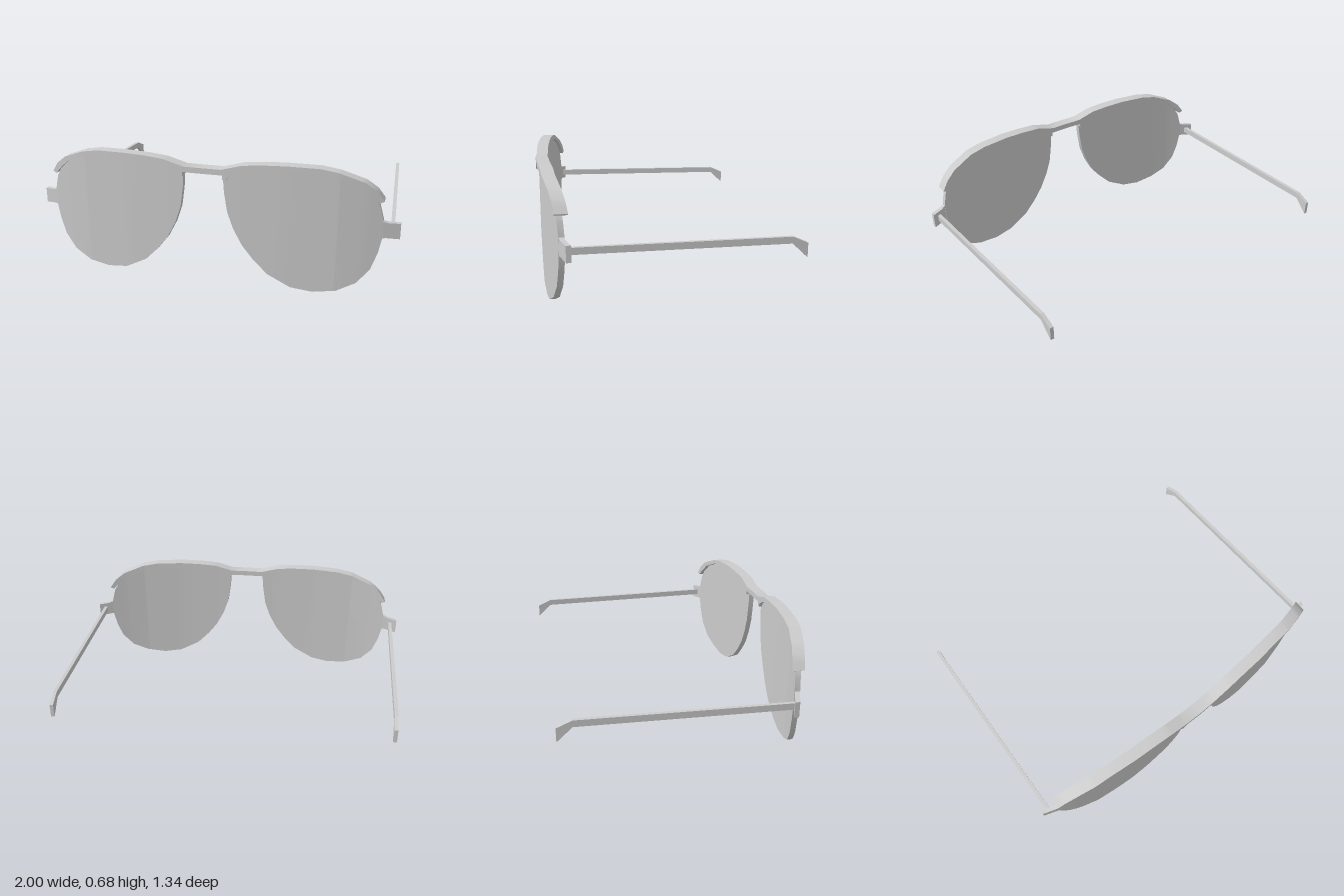
import * as THREE from 'three';
import { toCreasedNormals } from 'three/addons/utils/BufferGeometryUtils.js';

const material = new THREE.MeshStandardMaterial({ color: 0xcccccc });

// Profiles are [x, value] points, given for the +x half.
const wrap = [[0, 0.668], [0.2, 0.664], [0.44, 0.65], [0.695, 0.622], [0.82, 0.593], [0.914, 0.566], [1, 0.534]];
const browTop = [[0, 0.642], [0.1, 0.642], [0.21, 0.672], [0.32, 0.681], [0.44, 0.684], [0.6, 0.679],
  [0.695, 0.662], [0.82, 0.614], [0.877, 0.57], [0.914, 0.518]];
const browBottom = [[0, 0.612], [0.106, 0.612], [0.108, 0.59], [0.125, 0.586], [0.14, 0.612], [0.2, 0.64], [0.28, 0.65],
  [0.6, 0.65], [0.684, 0.64], [0.8, 0.593], [0.85, 0.55], [0.893, 0.507], [0.914, 0.517]];
const lensTop = [[0.107, 0.59], [0.13, 0.62], [0.24, 0.655], [0.6, 0.655], [0.684, 0.645], [0.8, 0.6],
  [0.85, 0.558], [0.893, 0.49], [0.914, 0.41]];
const lensBottom = [[0.107, 0.59], [0.112, 0.517], [0.128, 0.41], [0.16, 0.32], [0.208, 0.23], [0.267, 0.155],
  [0.342, 0.08], [0.465, 0.016], [0.58, 0], [0.7, 0.016], [0.8, 0.064], [0.866, 0.144], [0.898, 0.235], [0.914, 0.315]];
const hingeTop = [[0.9, 0.41], [0.914, 0.405], [0.94, 0.395], [1, 0.39]];
const hingeBottom = [[0.9, 0.312], [0.93, 0.315], [1, 0.306]];

function sample(profile, x) {
  let i = 1;
  while (i < profile.length - 1 && x > profile[i][0]) i++;
  const [x0, v0] = profile[i - 1], [x1, v1] = profile[i];
  return v0 + (v1 - v0) * THREE.MathUtils.clamp((x - x0) / (x1 - x0), 0, 1);
}

// All breakpoints of a part, so every profile corner gets its own column.
function columnsOf(top, bottom) {
  const lo = top[0][0], hi = top[top.length - 1][0];
  const xs = [...top, ...bottom, ...wrap].map((p) => p[0]).filter((x) => x >= lo && x <= hi);
  return [...new Set(xs)].sort((a, b) => a - b);
}

// A plate of given thickness between two outlines, bent around the face curve.
function wrappedPlate(name, xs, top, bottom, offset, thickness) {
  const sections = xs.map((x) => {
    const a = Math.abs(x), t = sample(top, a), b = sample(bottom, a);
    const z = sample(wrap, a) - offset;
    return [[x, b, z], [x, t, z], [x, t, z - thickness], [x, b, z - thickness]];
  });
  const pos = [];
  const quad = (a, b, c, d) => pos.push(...a, ...b, ...c, ...a, ...c, ...d);
  for (let i = 0; i < sections.length - 1; i++) {
    const p = sections[i], q = sections[i + 1];
    for (let k = 0; k < 4; k++) quad(p[k], q[k], q[(k + 1) % 4], p[(k + 1) % 4]);
  }
  const s = sections[0], e = sections[sections.length - 1];
  quad(s[0], s[1], s[2], s[3]);
  quad(e[3], e[2], e[1], e[0]);
  const geometry = new THREE.BufferGeometry();
  geometry.setAttribute('position', new THREE.Float32BufferAttribute(pos, 3));
  const mesh = new THREE.Mesh(toCreasedNormals(geometry, 0.5), material);
  mesh.name = name;
  return mesh;
}

// Straight arm with a drooping ear tip, converging towards the back.
function temple(name, side) {
  const outline = [[0.51, 0.335], [0.51, 0.37], [-0.59, 0.37], [-0.67, 0.335], [-0.67, 0.26], [-0.59, 0.335]];
  const shape = new THREE.Shape(outline.map(([z, y]) => new THREE.Vector2(-z, y)));
  const geometry = new THREE.ExtrudeGeometry(shape, { depth: 0.02, bevelEnabled: false });
  geometry.rotateY(Math.PI / 2).translate(-0.01, 0, 0);
  const p = geometry.attributes.position;
  for (let i = 0; i < p.count; i++) {
    const inward = 0.042 * (0.51 - p.getZ(i)) / 1.18;
    p.setX(i, p.getX(i) + side * (0.961 - inward));
  }
  geometry.computeVertexNormals();
  const mesh = new THREE.Mesh(geometry, material);
  mesh.name = name;
  return mesh;
}

export function createModel() {
  const group = new THREE.Group();
  group.name = 'sunglasses';

  // Brow bar across both lenses
  const half = columnsOf(browTop, browBottom);
  const full = [...half.slice(1).map((x) => -x).reverse(), ...half];
  group.add(wrappedPlate('browBar', full, browTop, browBottom, 0, 0.066));

  for (const [label, side] of [['left', 1], ['right', -1]]) {
    const mirrored = (xs) => xs.map((x) => x * side).sort((a, b) => a - b);
    group.add(wrappedPlate(label + 'Lens', mirrored(columnsOf(lensTop, lensBottom)), lensTop, lensBottom, 0.016, 0.03));
    group.add(wrappedPlate(label + 'Hinge', mirrored(columnsOf(hingeTop, hingeBottom)), hingeTop, hingeBottom, 0.017, 0.026));
    group.add(temple(label + 'Temple', side));
  }
  return group;
}
